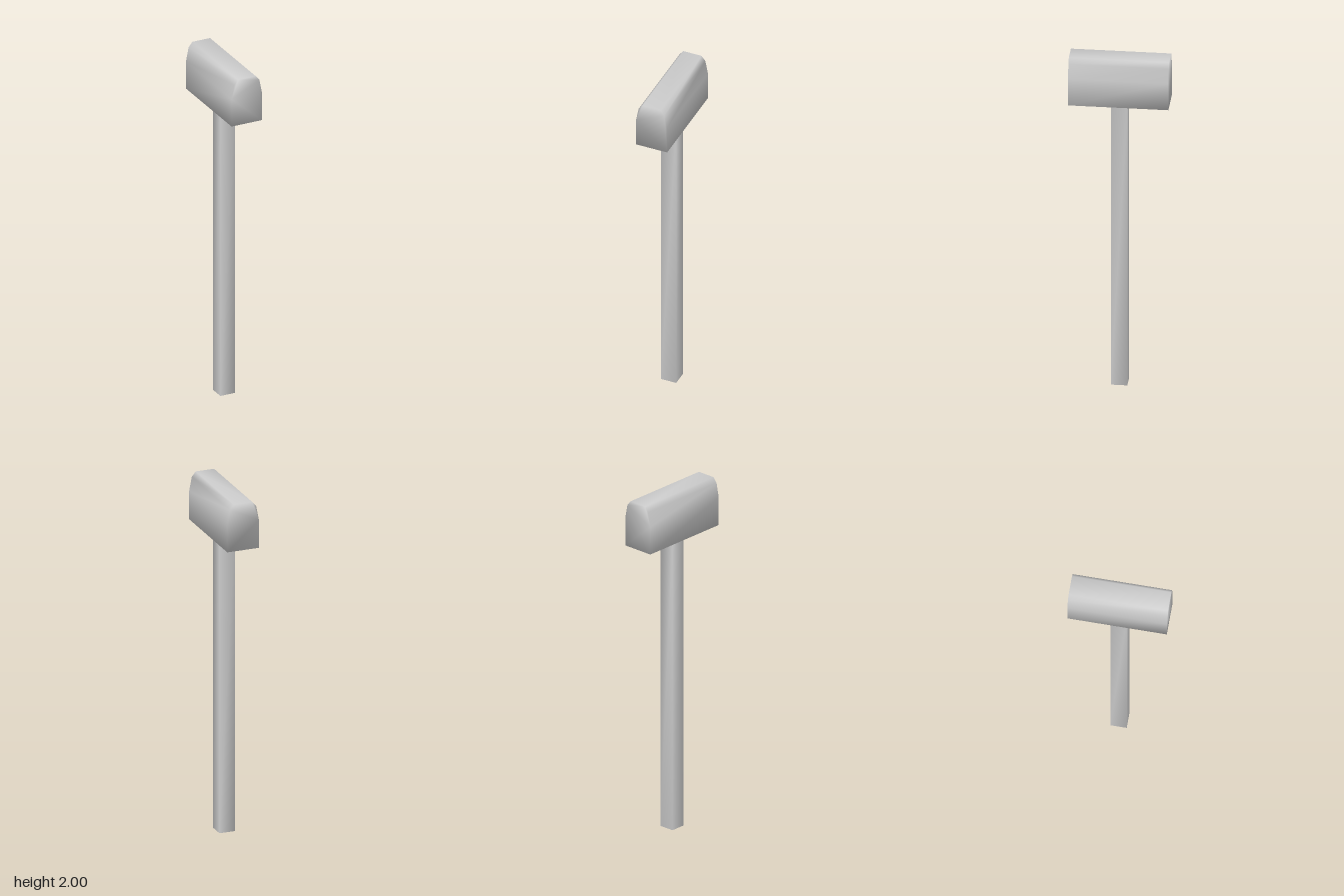
import * as THREE from 'three';
import { mergeVertices } from 'three/addons/utils/BufferGeometryUtils.js';

// Share corners between faces so the shading runs smoothly over every edge
function smooth(geometry) {
  geometry.deleteAttribute('normal');
  geometry.deleteAttribute('uv');
  const merged = mergeVertices(geometry, 1e-4);
  merged.computeVertexNormals();
  return merged;
}

export function createModel() {
  const group = new THREE.Group();
  const material = new THREE.MeshStandardMaterial({ color: 0xcccccc });

  function add(name, geometry) {
    const mesh = new THREE.Mesh(smooth(geometry), material);
    mesh.name = name;
    group.add(mesh);
    return mesh;
  }

  // Square shaft
  const handleHeight = 1.73;
  const handle = add('handle', new THREE.BoxGeometry(0.09, handleHeight, 0.09));
  handle.position.y = handleHeight / 2;

  // Mallet head: mirrored half outline with rounded-off top, extruded along z
  const half = [[0.093, 1.727], [0.093, 1.89], [0.077, 1.972], [0.054, 2]];
  const outline = [...half, ...half.map(([x, y]) => [-x, y]).reverse()];
  const shape = new THREE.Shape(outline.map(([x, y]) => new THREE.Vector2(x, y)));
  const length = 0.55;
  const head = new THREE.ExtrudeGeometry(shape, { depth: length, bevelEnabled: false });
  head.translate(0, 0, -length / 2);
  add('head', head);

  return group;
}
